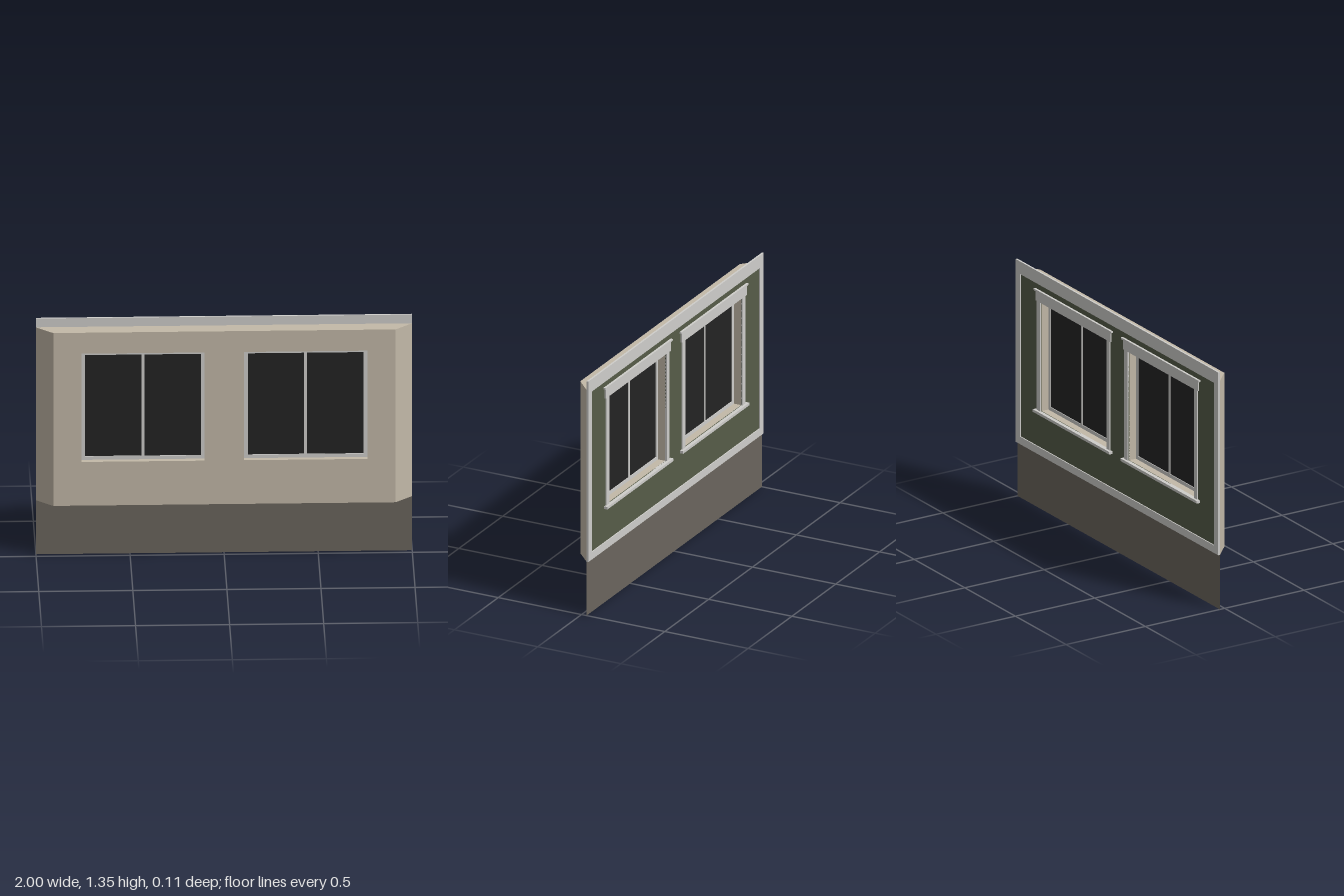
import * as THREE from 'three';

const mat = (name, color, side = THREE.FrontSide) => {
  const m = new THREE.MeshStandardMaterial({ color, side });
  m.name = name;
  return m;
};

export function createModel() {
  const group = new THREE.Group();
  const plaster = mat('tan plaster', 0xc3b9a8);
  const siding = mat('green siding', 0x565c48);
  const trim = mat('light grey trim', 0xcfcecb);
  const glass = mat('dark glass', 0x242424);
  const base = mat('foundation brown', 0x6b655d, THREE.DoubleSide);

  const add = (parent, name, geometry, material) => {
    const mesh = new THREE.Mesh(geometry, material);
    mesh.name = name;
    parent.add(mesh);
    return mesh;
  };
  // Box given by its limits on each axis
  const box = (parent, name, material, x0, x1, y0, y1, z0, z1) => {
    const g = new THREE.BoxGeometry(x1 - x0, y1 - y0, z1 - z0);
    g.translate((x0 + x1) / 2, (y0 + y1) / 2, (z0 + z1) / 2);
    return add(parent, name, g, material);
  };
  const trace = (path, x0, x1, y0, y1) => {
    path.moveTo(x0, y0);
    path.lineTo(x1, y0);
    path.lineTo(x1, y1);
    path.lineTo(x0, y1);
    path.closePath();
    return path;
  };
  // Upright panel with rectangular holes
  const panel = (x0, x1, y0, y1, z0, z1, holes) => {
    const shape = trace(new THREE.Shape(), x0, x1, y0, y1);
    for (const h of holes) shape.holes.push(trace(new THREE.Path(), ...h));
    const g = new THREE.ExtrudeGeometry(shape, { depth: z1 - z0, bevelEnabled: false });
    return g.translate(0, 0, z0);
  };

  const BOTTOM = 0.31, TOP = 1.3, FRONT = 0.055, BACK = -0.03;
  const X0 = 0.105, X1 = 0.76, Y0 = 0.56, Y1 = 1.18; // window opening
  const openings = [[-X1, -X0, Y0, Y1], [X0, X1, Y0, Y1]];

  // Wall body and its mitred ends
  add(group, 'wall', panel(-0.91, 0.91, BOTTOM, TOP, BACK, FRONT, openings), plaster);
  for (const s of [-1, 1]) {
    const plan = new THREE.Shape();
    plan.moveTo(s * 0.91, -FRONT);
    plan.lineTo(s, -BACK);
    plan.lineTo(s * 0.91, -BACK);
    plan.closePath();
    const g = new THREE.ExtrudeGeometry(plan, { depth: TOP - BOTTOM, bevelEnabled: false });
    g.rotateX(-Math.PI / 2).translate(0, BOTTOM, 0);
    add(group, 'mitredEnd', g, plaster);
  }

  // Foundation sheet
  add(group, 'foundation',
    new THREE.PlaneGeometry(2, BOTTOM).translate(0, BOTTOM / 2, BACK), base);

  // Siding and border boards on the back
  add(group, 'siding', panel(-0.96, 0.96, 0.35, 1.28, -0.035, BACK, openings), siding);
  add(group, 'borderTrim',
    panel(-1, 1, BOTTOM, 1.35, -0.041, BACK, [[-0.957, 0.957, 0.353, 1.278]]), trim);

  // Windows
  for (const s of [-1, 1]) {
    const win = new THREE.Group();
    win.name = s > 0 ? 'leftWindow' : 'rightWindow';
    win.position.x = s * (X0 + X1) / 2;
    group.add(win);
    const w = (X1 - X0) / 2, f = 0.02;

    add(win, 'frame', panel(-w, w, Y0, Y1, 0.012, 0.025,
      [[-w + f, w - f, Y0 + f, Y1 - f]]), trim);
    box(win, 'mullion', trim, -0.008, 0.008, Y0 + f, Y1 - f, 0.013, 0.024);
    for (const t of [-1, 1]) {
      const a = t * 0.008, b = t * (w - f);
      box(win, 'glass', glass, Math.min(a, b), Math.max(a, b), Y0 + f, Y1 - f, 0.016, 0.021);
      const c = t * w, d = t * (w + 0.033);
      box(win, 'sideCasing', trim, Math.min(c, d), Math.max(c, d), Y0, Y1, -0.041, BACK);
    }
    box(win, 'headCasing', trim, -w - 0.043, w + 0.043, Y1, 1.235, -0.043, BACK);
    box(win, 'headCap', trim, -w - 0.055, w + 0.055, 1.235, 1.245, -0.048, BACK);
    box(win, 'sill', trim, -w - 0.05, w + 0.05, 0.545, Y0, -0.055, BACK);
  }

  return group;
}
